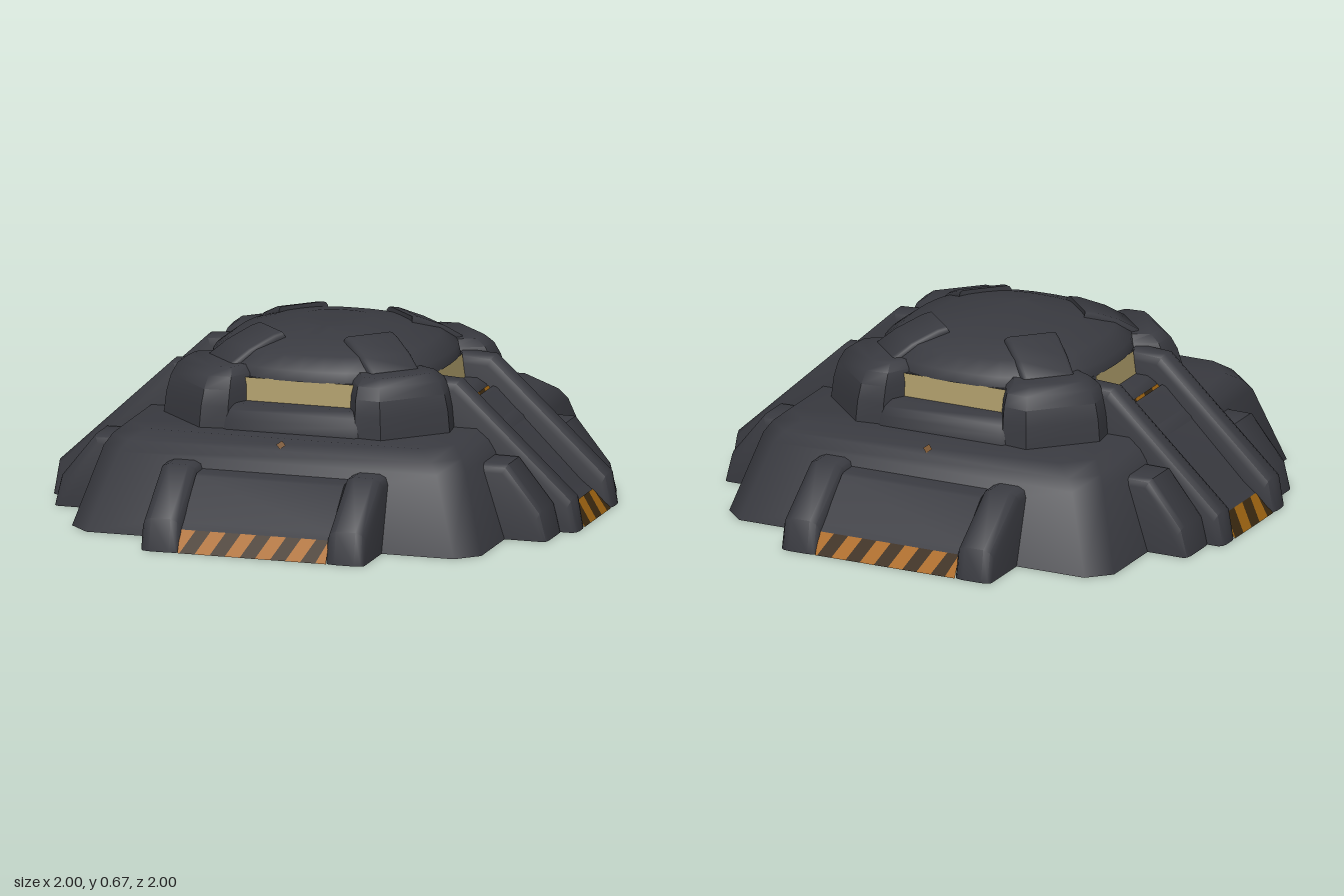
import * as THREE from 'three';
import { toCreasedNormals } from 'three/addons/utils/BufferGeometryUtils.js';

const mat = (name, color) => {
  const m = new THREE.MeshStandardMaterial({ color, side: THREE.DoubleSide });
  m.name = name;
  return m;
};

// Skin closed rings of [x, y, z] points, with optional fan caps on the ends.
function loft(rings, capFirst, capLast) {
  const p = [];
  for (let i = 0; i < rings.length - 1; i++) {
    const n = rings[i].length;
    for (let j = 0; j < n; j++) {
      const k = (j + 1) % n;
      const [a, b, c, d] = [rings[i][j], rings[i][k], rings[i + 1][k], rings[i + 1][j]];
      p.push(...a, ...b, ...c, ...a, ...c, ...d);
    }
  }
  const fan = (r, flip) => {
    for (let j = 1; j < r.length - 1; j++) {
      p.push(...r[0], ...(flip ? r[j + 1] : r[j]), ...(flip ? r[j] : r[j + 1]));
    }
  };
  if (capFirst) fan(rings[0], true);
  if (capLast) fan(rings[rings.length - 1], false);
  return finish(p);
}

function finish(p) {
  const g = new THREE.BufferGeometry();
  g.setAttribute('position', new THREE.Float32BufferAttribute(p, 3));
  g.computeVertexNormals();
  return toCreasedNormals(g, 0.83);
}

// Square outline with cut corners at height y.
function cutSquare(h, cut, y) {
  const s = h - cut;
  return [[-s, h], [s, h], [h, s], [h, -s], [s, -h], [-s, -h], [-h, -s], [-h, s]]
    .map(([x, z]) => [x, y, z]);
}

// Slightly squared circle at height y.
function softCircle(h, y) {
  return Array.from({ length: 32 }, (_, i) => {
    const a = (i / 32) * Math.PI * 2, s = Math.sin(a), c = Math.cos(a);
    const r = h / Math.pow(Math.abs(s) ** 2.5 + Math.abs(c) ** 2.5, 0.4);
    return [r * s, y, r * c];
  });
}

// Side profile of [z, y] points swept from x0 to x1 with softened edges.
function block(profile, x0, x1, bevel) {
  const section = (x, b) => profile.map(([z, y]) => [x, Math.max(0, y - (y > 0 ? b : 0)), z - b * 0.5]);
  const rings = bevel
    ? [section(x1, bevel), section(x1 - bevel * 0.3, bevel * 0.3), section(x1 - bevel, 0),
      section(x0 + bevel, 0), section(x0 + bevel * 0.3, bevel * 0.3), section(x0, bevel)]
    : [section(x1, 0), section(x0, 0)];
  return loft(rings, true, true);
}

// Flat sloped plate from a low [z, y] edge to a high one.
function plate(half, low, high) {
  const [a, b] = [[-half, low[1], low[0]], [half, low[1], low[0]]];
  const [c, d] = [[half, high[1], high[0]], [-half, high[1], high[0]]];
  return finish([...a, ...b, ...c, ...a, ...c, ...d]);
}

// Slanted stripes filling a sloped band; parity picks one of the two colours.
function stripes(half, low, high, period, slant, parity) {
  const p = [], w = period / 2;
  const clamp = (x) => Math.min(half, Math.max(-half, x));
  const count = Math.ceil((2 * half + slant) / w) + 1;
  for (let i = parity; i < count; i += 2) {
    const x = -half - slant + i * w;
    const a = [clamp(x), low[1], low[0]], b = [clamp(x + w), low[1], low[0]];
    const c = [clamp(x + w + slant), high[1], high[0]], d = [clamp(x + slant), high[1], high[0]];
    p.push(...a, ...b, ...c, ...a, ...c, ...d);
  }
  return finish(p);
}

export function createModel() {
  const armour = mat('dark armour', 0x393a40);
  const orange = mat('warning orange', 0xb06c1e);
  const amber = mat('shaded warning orange', 0x986010);
  const brown = mat('warning brown', 0x38270f);
  const rust = mat('stud brown', 0x6e4610);
  const glass = mat('window gold', 0xab9a68);

  const model = new THREE.Group();
  model.name = 'bunker';
  const add = (parent, name, geometry, material = armour) => {
    const m = new THREE.Mesh(geometry, material);
    m.name = name;
    parent.add(m);
    return m;
  };
  const turned = (name, angle) => {
    const g = new THREE.Group();
    g.name = name;
    g.rotation.y = angle;
    model.add(g);
    return g;
  };
  const hazard = (parent, name, bright, ...args) => {
    add(parent, name + 'Bright', stripes(...args, 0), bright);
    add(parent, name + 'Dark', stripes(...args, 1), brown);
  };

  // Hollow sloped base with a round-shouldered deck
  add(model, 'base', loft([
    cutSquare(0.78, 0.08, 0), cutSquare(0.69, 0.085, 0.285),
    cutSquare(0.665, 0.09, 0.325), cutSquare(0.62, 0.1, 0.362), cutSquare(0.44, 0.2, 0.362),
  ]));

  // Collar with the wall behind the windows
  add(model, 'collar', loft([
    cutSquare(0.545, 0.3, 0.36), cutSquare(0.54, 0.3, 0.4), cutSquare(0.525, 0.29, 0.43),
    cutSquare(0.49, 0.26, 0.45), cutSquare(0.437, 0.225, 0.45),
    cutSquare(0.425, 0.215, 0.533), cutSquare(0.36, 0.18, 0.535),
  ]));

  // Dome
  add(model, 'dome', loft([
    softCircle(0.4, 0.53), softCircle(0.438, 0.532), softCircle(0.43, 0.57), softCircle(0.37, 0.615),
    softCircle(0.26, 0.65), softCircle(0.13, 0.672),
  ], false, true));

  for (let i = 0; i < 4; i++) {
    // Gold window on each side
    add(turned('windowSide', i * Math.PI / 2), 'window',
      plate(i % 2 ? 0.152 : 0.216, [0.444, 0.45], [0.432, 0.534]), glass);

    // Diagonal buttress with a plate lapping onto the dome
    const g = turned('buttress', Math.PI / 4 + i * Math.PI / 2);
    const ring = (y, s, d) => [[0.138, 0.625], [0.2, 0.545], [0.16, 0.4],
      [-0.16, 0.4], [-0.2, 0.545], [-0.138, 0.625]]
      .map(([x, z]) => [x * s, y, 0.4 + (z - 0.4) * d]);
    add(g, 'buttressBody', loft([
      ring(0.36, 1.02, 1.02), ring(0.44, 1, 0.98), ring(0.5, 0.96, 0.91),
      ring(0.545, 0.88, 0.81), ring(0.572, 0.72, 0.68),
    ], false, true));
    add(g, 'buttressPlate', block([
      [0.49, 0.5], [0.47, 0.575], [0.4, 0.618], [0.3, 0.66], [0.265, 0.667], [0.265, 0.6],
    ], -0.1, 0.1, 0.015));
  }

  const pillarProfile = [[1, 0], [0.98, 0.12], [0.77, 0.275], [0.62, 0.275], [0.62, 0]];
  const railProfile = [[1, 0], [0.98, 0.125], [0.545, 0.53], [0.42, 0.537], [0.42, 0.36], [0.78, 0]];
  const sideBlockProfile = [[0.94, 0], [0.915, 0.11], [0.785, 0.273], [0.65, 0.275], [0.65, 0]];

  // Front and back low ramps
  for (const angle of [0, Math.PI]) {
    const g = turned(angle ? 'backRamp' : 'frontRamp', angle);
    add(g, 'leftPillar', block(pillarProfile, 0.28, 0.425, 0.035));
    add(g, 'rightPillar', block(pillarProfile, -0.425, -0.28, 0.035));
    add(g, 'rampPanel', block([[0.96, 0.08], [0.935, 0.1], [0.785, 0.24], [0.77, 0.247], [0.62, 0.25]],
      -0.282, 0.282, 0));
    hazard(g, 'hazardBand', orange, 0.283, [0.998, 0], [0.96, 0.08], 0.115, 0.05);
    const stud = add(g, 'deckStud', new THREE.CircleGeometry(0.018, 4), rust);
    stud.position.set(0, 0.345, 0.651);
    stud.rotation.x = -0.75;
  }

  // Tall side ramps with rails reaching up to the dome
  for (const side of [1, -1]) {
    const g = turned(side > 0 ? 'leftRamp' : 'rightRamp', side * Math.PI / 2);
    for (const s of [1, -1]) {
      const span = (a, b) => (s > 0 ? [a, b] : [-b, -a]);
      add(g, 'rail', block(railProfile, ...span(0.15, 0.258), 0.035));
      add(g, 'sideBlock', block(sideBlockProfile, ...span(0.24, 0.427), 0.03));
    }
    add(g, 'rampPanel', block([[0.93, 0.065], [0.885, 0.1], [0.565, 0.42], [0.55, 0.425], [0.55, 0.36]],
      -0.155, 0.155, 0));
    hazard(g, 'hazardBand', amber, 0.155, [0.998, 0], [0.93, 0.068], 0.13, 0.06);
    hazard(g, 'topHazardLine', amber, 0.155, [0.549, 0.404], [0.531, 0.425], 0.13, 0.015);
  }
  return model;
}
